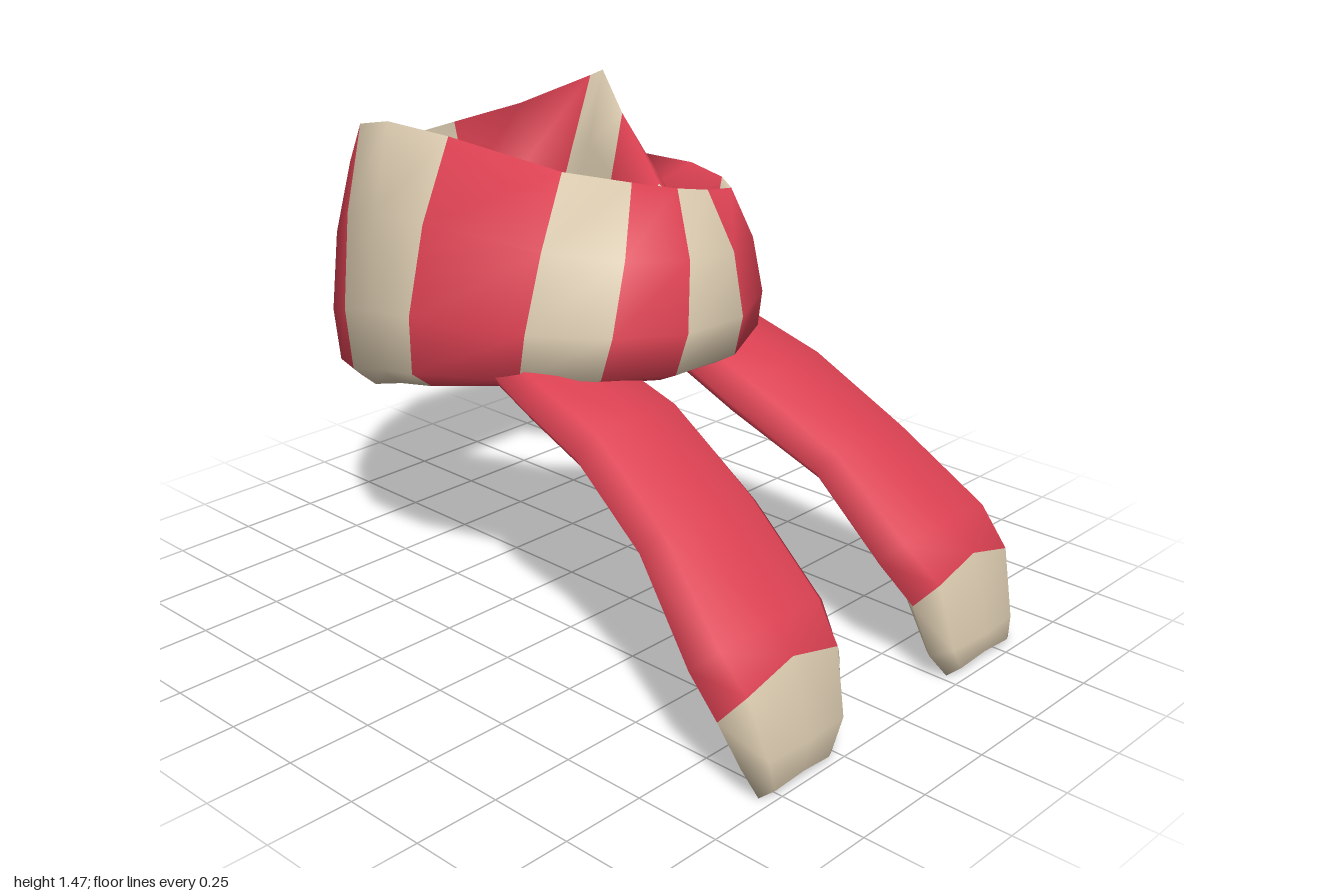
import * as THREE from 'three';

const red = new THREE.MeshStandardMaterial({ color: 0xdb4152 });
red.name = 'red wool';
const cream = new THREE.MeshStandardMaterial({ color: 0xd9c9ae });
cream.name = 'cream wool';

// Closed skin over a list of rings; colourOf(i, j) picks 0 red or 1 cream per cell.
function loft(name, rings, colourOf) {
  const n = rings[0].length;
  const points = rings.flat();
  const faces = [[], []];
  for (let i = 0; i < rings.length - 1; i++) {
    for (let j = 0; j < n; j++) {
      const a = i * n + j, b = i * n + (j + 1) % n;
      faces[colourOf(i, j)].push([a, b, b + n], [a, b + n, a + n]);
    }
  }
  // End caps
  [0, rings.length - 1].forEach((r, end) => {
    const centre = new THREE.Vector3();
    rings[r].forEach((p) => centre.addScaledVector(p, 1 / n));
    const c = points.push(centre) - 1;
    for (let j = 0; j < n; j++) {
      const a = r * n + j, b = r * n + (j + 1) % n;
      faces[colourOf(end ? r - 1 : 0, j)].push(end ? [a, b, c] : [b, a, c]);
    }
  });
  // Turn all faces outwards
  let volume = 0;
  const cross = new THREE.Vector3();
  faces.flat().forEach(([a, b, c]) => {
    volume += points[a].dot(cross.crossVectors(points[b], points[c]));
  });
  if (volume < 0) faces.flat().forEach((f) => f.reverse());

  const geometry = new THREE.BufferGeometry().setFromPoints(points);
  geometry.setIndex(faces.flat(2));
  geometry.addGroup(0, faces[0].length * 3, 0);
  geometry.addGroup(faces[0].length * 3, faces[1].length * 3, 1);
  geometry.computeVertexNormals();
  const mesh = new THREE.Mesh(geometry, [red, cream]);
  mesh.name = name;
  return mesh;
}

// Neck wrap: outer x, z, inner x, z, top y, bottom y, crest position, lean along the wrap
const wrapStations = [
  [0.32, 0.12, 0.08, 0.02, 1.17, 0.84, 0.5],
  [0.40, -0.08, 0.17, -0.23, 1.22, 0.80, 0.5],
  [0.555, -0.42, 0.31, -0.43, 1.38, 0.71, 0.68, -0.05],
  [0.567, -0.57, 0.32, -0.56, 1.485, 0.68, 0.52, -0.04],
  [0.55, -0.70, 0.32, -0.67, 1.45, 0.65, 0.42, -0.09],
  [0.43, -0.90, 0.31, -0.78, 1.34, 0.62, 0.3],
  [0.17, -0.98, 0.11, -0.75, 1.31, 0.62, 0.3],
  [-0.09, -1.0, -0.05, -0.76, 1.29, 0.62, 0.3],
  [-0.38, -0.88, -0.20, -0.71, 1.28, 0.61, 0.3],
  [-0.48, -0.69, -0.20, -0.63, 1.43, 0.64, 0.28],
  [-0.515, -0.52, -0.20, -0.51, 1.465, 0.69, 0.28],
  [-0.52, -0.35, -0.20, -0.36, 1.45, 0.72, 0.38, 0.07],
  [-0.43, 0.02, -0.13, -0.19, 1.365, 0.78, 0.62, 0.10],
  [-0.29, 0.21, -0.04, -0.09, 1.325, 0.80, 0.68, 0.12],
  [-0.10, 0.31, 0.03, -0.01, 1.295, 0.80, 0.66, 0.12],
  [0.14, 0.30, 0.15, 0.03, 1.265, 0.80, 0.66, 0.08],
  [0.32, 0.22, 0.25, 0.05, 1.25, 0.83, 0.55, 0.05],
  [0.48, 0.03, 0.36, -0.03, 1.22, 0.81, 0.4, 0.13],
  [0.555, -0.22, 0.42, -0.22, 1.235, 0.75, 0.4],
  [0.515, -0.42, 0.43, -0.42, 1.24, 0.73, 0.5],
];
const creamBands = [2, 3, 6, 9, 10, 12, 14, 16];

function wrapRing([ox, oz, ix, iz, top, bottom, crest, lean = 0], i) {
  const before = wrapStations[Math.max(i - 1, 0)];
  const after = wrapStations[Math.min(i + 1, wrapStations.length - 1)];
  const along = new THREE.Vector2(after[0] - before[0], after[1] - before[1]).normalize();
  // Across from outside to inside, then height
  const section = [
    [0.3, 0], [0.06, 0.08], [0, 0.32], [crest * 0.32, 0.68], [crest, 1],
    [crest * 0.55 + 0.45, 0.72], [1, 0.36], [0.8, 0.06],
  ];
  return section.map(([s, h]) => {
    const shift = lean * (h - 0.3);
    return new THREE.Vector3(
      ox + (ix - ox) * s + along.x * shift,
      bottom + (top - bottom) * h,
      oz + (iz - oz) * s + along.y * shift,
    );
  });
}

// Striped all round; the tucked end and the front underside are cream on the inner side
const wrapColour = (i, j) => (
  creamBands.includes(i) || (i === 0 && j >= 4) || (i === 15 && j >= 6) ? 1 : 0
);

// Hanging tail: left x, right x, y, z, thickness, arch of the row
function makeTail(name, stations) {
  const rings = stations.map(([x0, x1, y, z, thick, arch = 0], i) => {
    const before = stations[Math.max(i - 1, 0)];
    const after = stations[Math.min(i + 1, stations.length - 1)];
    const along = new THREE.Vector2(after[3] - before[3], after[2] - before[2]).normalize();
    // Across the width, then through the thickness
    const section = [
      [0, 0], [0.13, 0.4], [0.5, 0.5], [0.87, 0.4],
      [1, 0], [0.87, -0.4], [0.5, -0.5], [0.13, -0.4],
    ];
    return section.map(([s, t]) => {
      const bend = arch * 4 * s * (1 - s);
      return new THREE.Vector3(
        x0 + (x1 - x0) * s,
        y + along.x * t * thick - along.y * bend,
        z - along.y * t * thick - along.x * bend,
      );
    });
  });
  // Cream tip on the upper side and edges, red beneath
  return loft(name, rings, (i, j) => (i >= 5 && j !== 5 && j !== 6 ? 1 : 0));
}

export function createModel() {
  const group = new THREE.Group();
  group.name = 'scarf';
  group.add(loft('neckWrap', wrapStations.map(wrapRing), wrapColour));
  group.add(makeTail('rightTail', [
    [-0.43, -0.16, 0.83, -0.12, 0.12],
    [-0.48, -0.10, 0.79, 0.06, 0.14],
    [-0.50, -0.09, 0.715, 0.28, 0.15],
    [-0.55, -0.10, 0.55, 0.56, 0.13],
    [-0.64, -0.12, 0.35, 0.81, 0.15],
    [-0.63, -0.15, 0.24, 0.895, 0.16, 0.07],
    [-0.59, -0.19, 0.11, 0.94, 0.12],
    [-0.55, -0.26, 0.02, 0.965, 0.06, 0.015],
  ]));
  group.add(makeTail('leftTail', [
    [0.16, 0.44, 0.83, -0.14, 0.12],
    [0.11, 0.49, 0.79, 0.06, 0.14],
    [0.09, 0.52, 0.71, 0.29, 0.15],
    [0.16, 0.57, 0.55, 0.56, 0.13],
    [0.14, 0.64, 0.36, 0.80, 0.15],
    [0.19, 0.63, 0.24, 0.885, 0.16, 0.07],
    [0.22, 0.60, 0.09, 0.93, 0.12],
    [0.27, 0.58, 0.02, 0.955, 0.06, 0.015],
  ]));
  return group;
}
